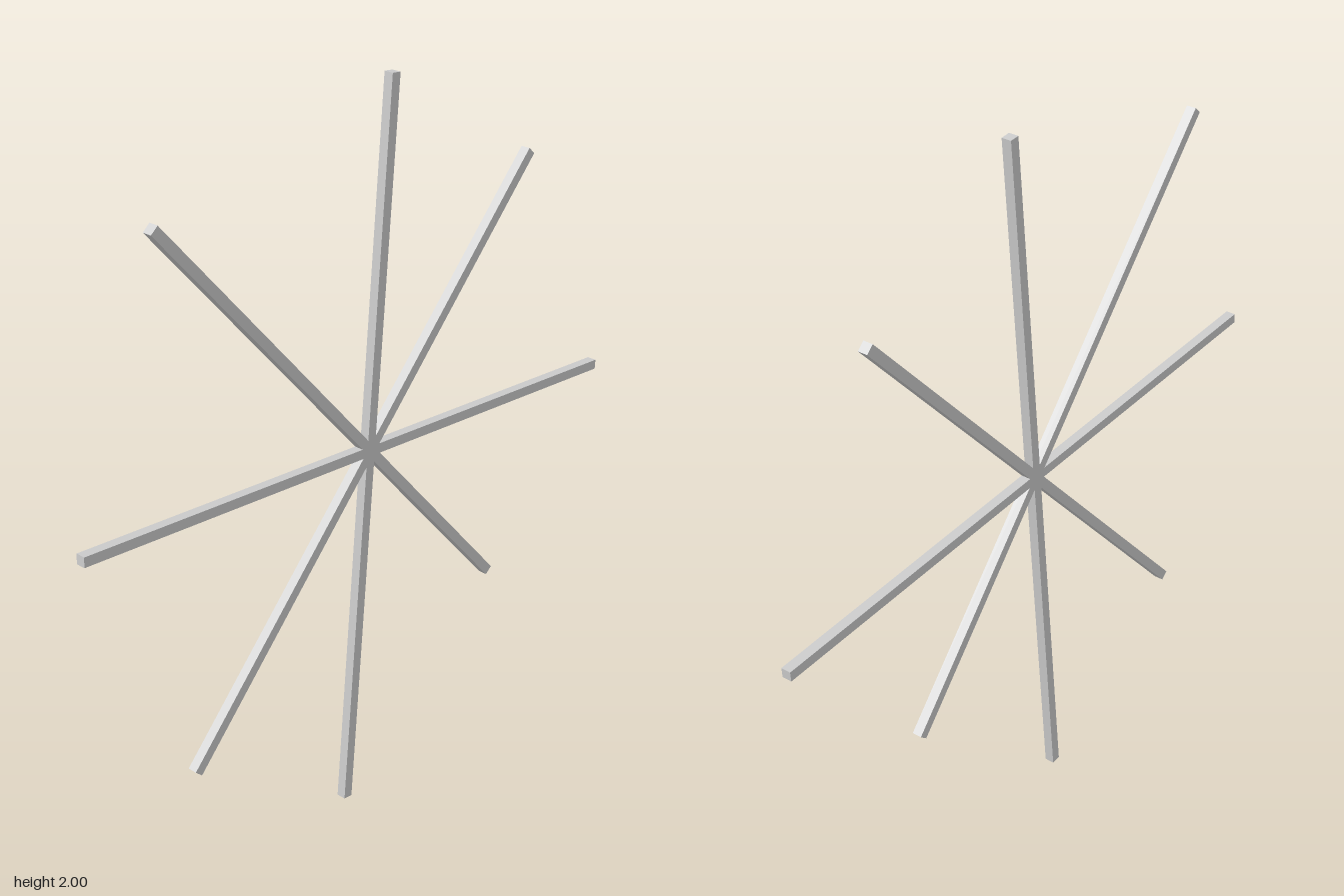
import * as THREE from 'three';

export function createModel() {
  const group = new THREE.Group();
  const material = new THREE.MeshStandardMaterial({ color: 0xcccccc, flatShading: true });
  const thickness = 0.027;

  // Each bar crosses the hub in the x = 0 plane: [name, z1, y1, z2, y2]
  const bars = [
    ['uprightBar', 0.088, 0.001, -0.088, 1.999],
    ['levelBar', 0.923, 1.078, -0.923, 0.983],
    ['frontRisingBar', -0.48, 0.487, 0.673, 1.801],
    ['backRisingBar', 0.617, 0.347, -0.602, 1.69],
  ];

  for (const [name, z1, y1, z2, y2] of bars) {
    const length = Math.hypot(z2 - z1, y2 - y1);
    const bar = new THREE.Mesh(new THREE.BoxGeometry(thickness, length, thickness), material);
    bar.name = name;
    bar.position.set(0, (y1 + y2) / 2, (z1 + z2) / 2);
    bar.rotation.x = Math.atan2(z2 - z1, y2 - y1);
    group.add(bar);
  }
  return group;
}
